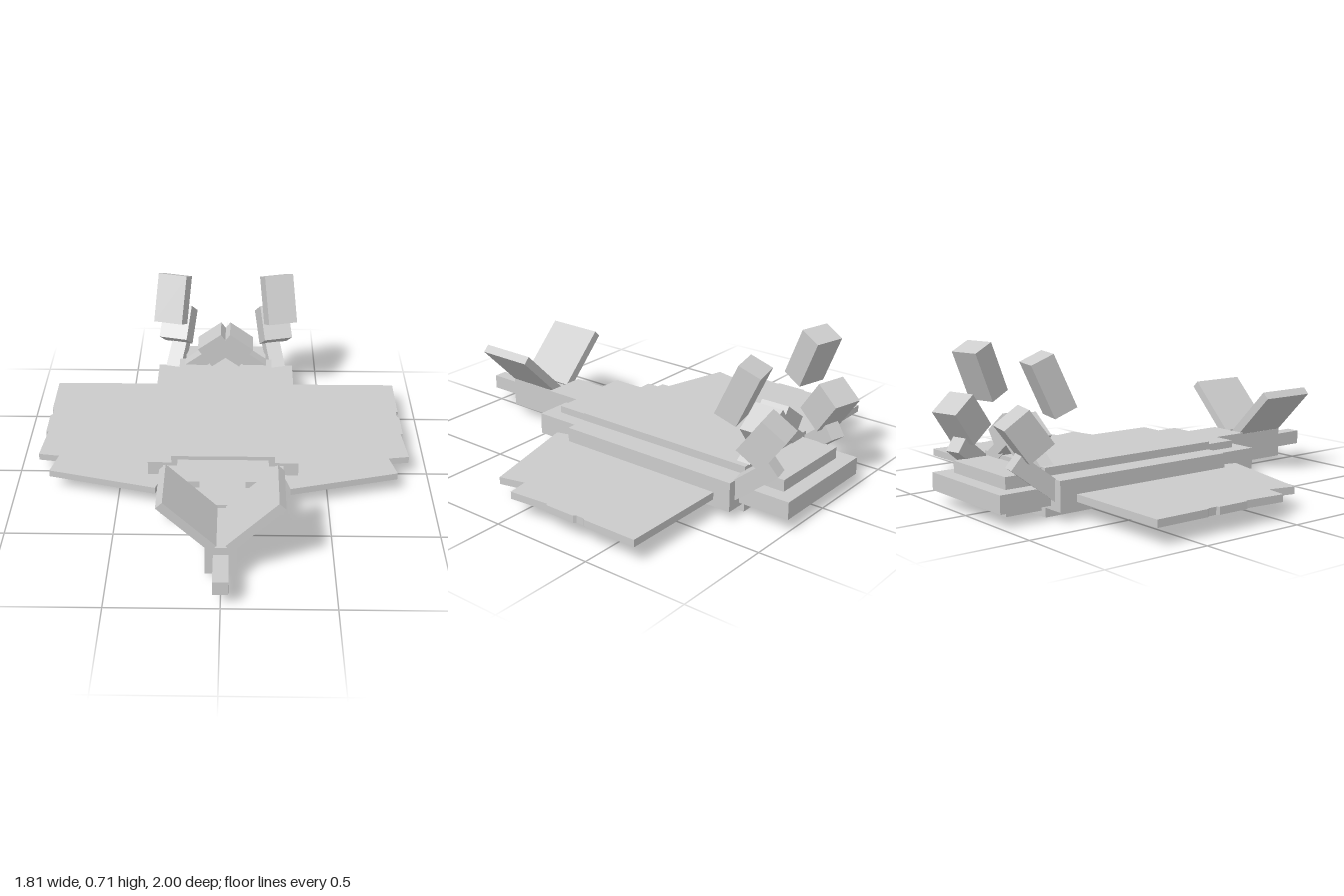
import * as THREE from 'three';

export function createModel() {
  const model = new THREE.Group();
  const material = new THREE.MeshStandardMaterial({ color: 0xcccccc, flatShading: true });
  const deg = THREE.MathUtils.degToRad;

  function add(name, geometry, parent = model) {
    const mesh = new THREE.Mesh(geometry, material);
    mesh.name = name;
    parent.add(mesh);
    return mesh;
  }

  // Upright block from its half width, y range and z range
  function block(name, halfX, y0, y1, z0, z1) {
    const mesh = add(name, new THREE.BoxGeometry(halfX * 2, y1 - y0, z1 - z0));
    mesh.position.set(0, (y0 + y1) / 2, (z0 + z1) / 2);
  }

  // Tilted block, angles in degrees: yaw, then pitch, then roll
  function tilted(name, size, position, pitch, yaw, roll, parent) {
    const mesh = add(name, new THREE.BoxGeometry(...size), parent);
    mesh.position.set(...position);
    mesh.rotation.set(deg(pitch), deg(yaw), deg(roll), 'YXZ');
  }

  // Stepped body
  block('bodyCore', 0.245, 0, 0.217, -0.75, 0.18);
  block('bodySides', 0.357, 0.043, 0.18, -0.75, 0.178);
  block('frontShoulder', 0.285, 0.06, 0.163, 0.1, 0.425);
  block('frontStep', 0.215, 0.025, 0.197, 0.1, 0.357);
  block('neck', 0.105, 0.025, 0.197, 0.3, 0.535);
  block('finBase', 0.07, 0.04, 0.182, 0.53, 0.82);
  block('tip', 0.034, 0.077, 0.145, 0.8, 1);
  block('rearStep', 0.215, 0.025, 0.197, -0.93, -0.7);
  block('rearPlate', 0.285, 0.06, 0.142, -1, -0.7);

  // Flat wing outline as (x, z)
  const outline = [
    [0.25, -0.665], [0.893, -0.665], [0.893, -0.4], [0.885, -0.39], [0.885, -0.35],
    [0.896, -0.34], [0.896, -0.187], [0.885, -0.187], [0.903, 0.015], [0.803, 0.03],
    [0.833, 0.155], [0.317, 0.29], [0.25, 0.04],
  ];

  for (const side of [1, -1]) {
    const label = side > 0 ? 'left' : 'right';
    const half = new THREE.Group();
    half.name = label + 'Half';
    model.add(half);

    // Wing, extruded and laid flat
    const points = outline.map(([x, z]) => new THREE.Vector2(x * side, -z));
    const wing = new THREE.ExtrudeGeometry(new THREE.Shape(points), { depth: 0.034, bevelEnabled: false });
    wing.rotateX(-Math.PI / 2).translate(0, 0.077, 0);
    add(label + 'Wing', wing, half);

    // Front fin of the V
    tilted(label + 'Fin', [0.32, 0.042, 0.284], [0.147 * side, 0.29, 0.678], 0, 0, 45 * side, half);

    // Jointed rear arm, leaning back and turned outward
    tilted(label + 'LowerArm', [0.08, 0.24, 0.08], [0.262 * side, 0.19, -0.81], -52, 14 * side, 0, half);
    tilted(label + 'MiddleArm', [0.15, 0.185, 0.136], [0.255 * side, 0.375, -0.86], -36, 14 * side, 0, half);
    tilted(label + 'UpperArm', [0.15, 0.25, 0.108], [0.275 * side, 0.578, -0.748], -24, 14 * side, 0, half);

    // Angled centre pod and its strut
    tilted(label + 'Pod', [0.15, 0.125, 0.142], [0.048 * side, 0.325, -0.718], 0, 0, -36 * side, half);
    tilted(label + 'Strut', [0.18, 0.07, 0.068], [0.125 * side, 0.24, -0.72], 0, 0, -36 * side, half);
  }
  return model;
}
